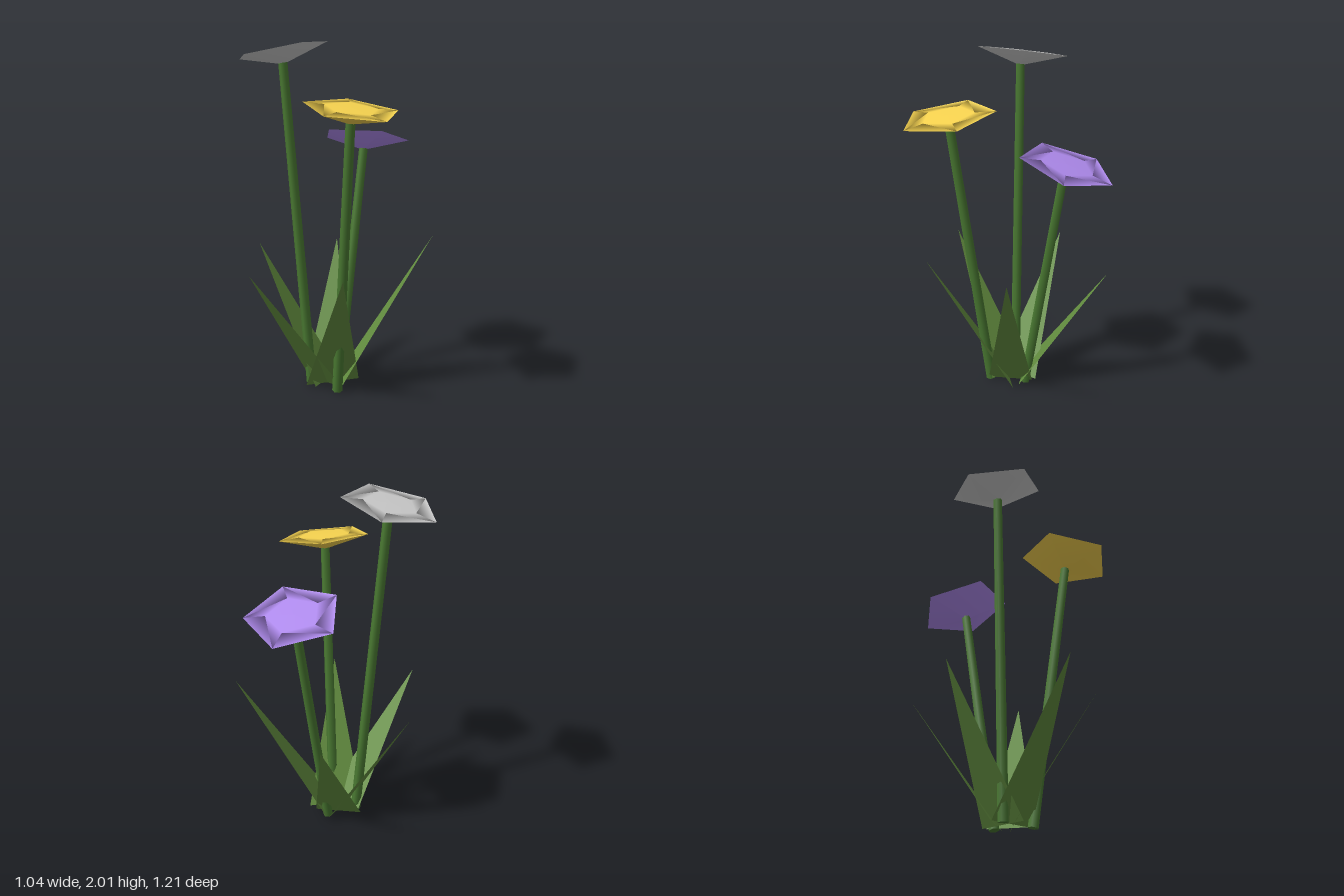
import * as THREE from 'three';

const stemMat = new THREE.MeshStandardMaterial({ color: 0x4a7a32 });
const leafMat = new THREE.MeshStandardMaterial({ color: 0x628c3f, side: THREE.DoubleSide });
const UP = new THREE.Vector3(0, 1, 0);

// stem base, blossom centre, blossom normal, turn of the pentagon, colour
const FLOWERS = [
  { base: [-0.12, 0, 0.08], center: [-0.26, 1.956, 0.16], normal: [-0.207, 1, 0.04], turn: -0.147, color: 0xcccccc },
  { base: [0.08, 0, 0.1], center: [0.262, 1.66, 0.234], normal: [0.158, 1, 0.046], turn: 0.035, color: 0xf7d34f },
  { base: [-0.03, 0, -0.08], center: [-0.038, 1.437, -0.362], normal: [-0.093, 1, -0.28], turn: -Math.PI / 2, color: 0xb18cf0 },
];

// tip, then the two ends of the base edge
const LEAVES = [
  [[-0.52, 0.8, 0.06], [-0.07, 0.01, -0.13], [-0.04, 0.01, 0.15]],
  [[-0.31, 0.75, -0.47], [-0.185, 0.01, 0.05], [0.05, 0.01, -0.1]],
  [[0.44, 0.89, -0.36], [-0.05, 0.01, -0.12], [0.1, 0.01, 0.1]],
  [[0.32, 0.78, 0.4], [0.1, 0.01, -0.1], [-0.1, 0.01, 0.16]],
  [[-0.15, 0.78, 0.6], [0.1, 0.01, 0.07], [-0.165, 0.01, 0.04]],
];

// Straight tube between two points
function makeStem(from, to) {
  const dir = to.clone().sub(from);
  const stem = new THREE.Mesh(new THREE.CylinderGeometry(0.026, 0.03, dir.length(), 6), stemMat);
  stem.position.copy(from).addScaledVector(dir, 0.5);
  stem.quaternion.setFromUnitVectors(UP, dir.normalize());
  stem.name = 'stem';
  return stem;
}

// Shallow five-sided cup with a nearly flat top
function makeBlossom(turn, color) {
  const profile = [[0, -0.08], [0.27, 0], [0.15, 0.006], [0, 0.008]].map(([r, y]) => new THREE.Vector2(r, y));
  const blossom = new THREE.Mesh(
    new THREE.LatheGeometry(profile, 5, turn),
    new THREE.MeshStandardMaterial({ color }));
  blossom.name = 'blossom';
  return blossom;
}

// Flat pointed blade
function makeLeaf(corners) {
  const geometry = new THREE.BufferGeometry();
  geometry.setAttribute('position', new THREE.Float32BufferAttribute(corners.flat(), 3));
  geometry.computeVertexNormals();
  // keep the front side facing up
  if (geometry.attributes.normal.getY(0) < 0) {
    geometry.setIndex([0, 2, 1]);
    geometry.computeVertexNormals();
  }
  const leaf = new THREE.Mesh(geometry, leafMat);
  leaf.name = 'leaf';
  return leaf;
}

export function createModel() {
  const model = new THREE.Group();
  model.name = 'flowers';

  for (const f of FLOWERS) {
    const flower = new THREE.Group();
    flower.name = 'flower';
    const normal = new THREE.Vector3(...f.normal).normalize();
    const center = new THREE.Vector3(...f.center);
    const blossom = makeBlossom(f.turn, f.color);
    blossom.position.copy(center);
    blossom.quaternion.setFromUnitVectors(UP, normal);
    const top = center.clone().addScaledVector(normal, -0.065);
    flower.add(makeStem(new THREE.Vector3(...f.base), top), blossom);
    model.add(flower);
  }

  for (const corners of LEAVES) model.add(makeLeaf(corners));
  return model;
}
